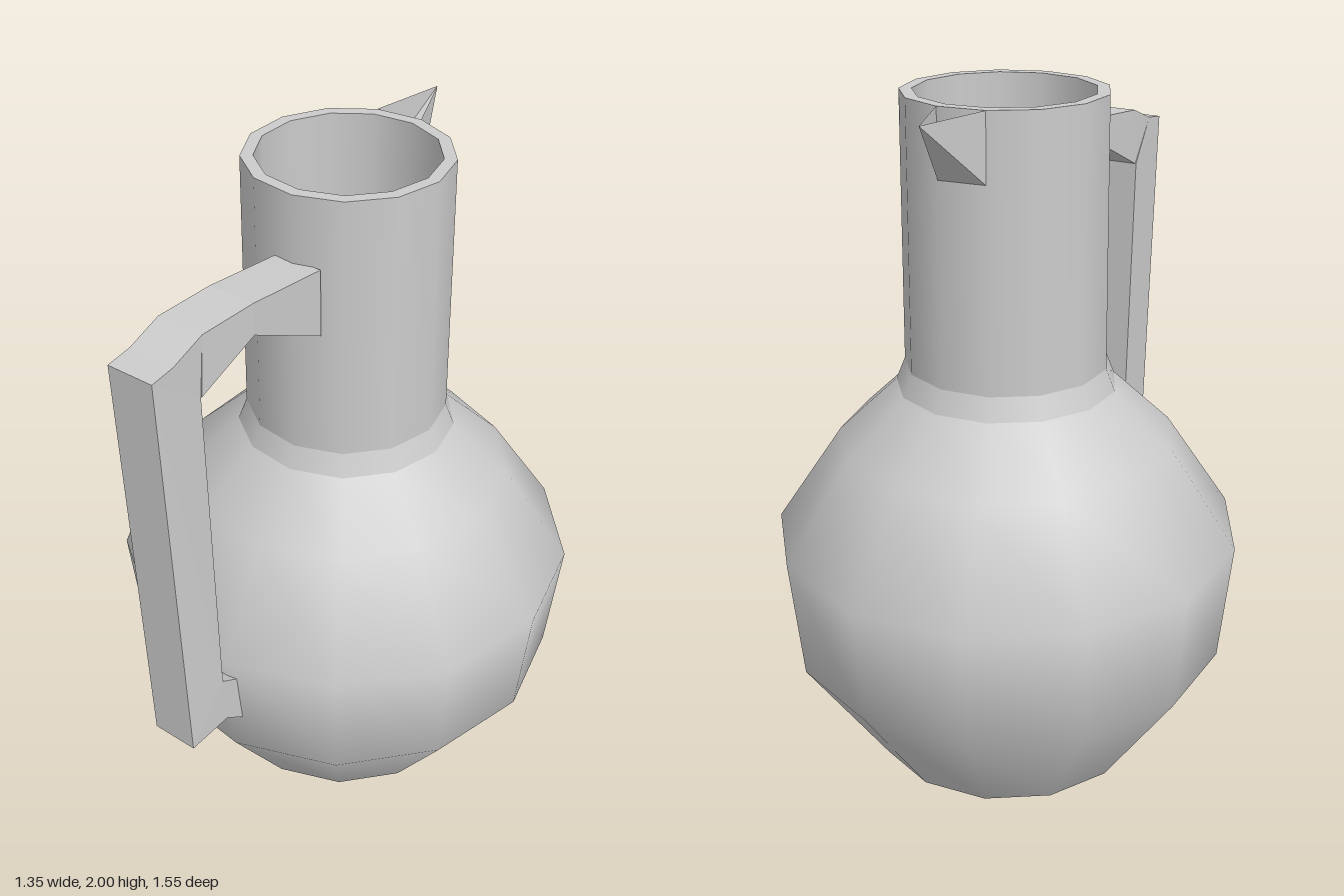
import * as THREE from 'three';

const SIDES = 13;
const CX = -0.011, CZ = -0.1; // axis of the vessel

export function createModel() {
  const group = new THREE.Group();
  const smooth = new THREE.MeshStandardMaterial({ color: 0xcccccc });
  const flat = new THREE.MeshStandardMaterial({ color: 0xcccccc, flatShading: true, side: THREE.DoubleSide });

  const add = (name, geometry, material) => {
    const mesh = new THREE.Mesh(geometry, material);
    mesh.name = name;
    group.add(mesh);
    return mesh;
  };

  // Thirteen-sided turned part, with a corner pointing to +x
  const turned = (name, profile, material = smooth) => {
    const points = profile.map(([r, y]) => new THREE.Vector2(r, y));
    const mesh = add(name, new THREE.LatheGeometry(points, SIDES, Math.PI / 2), material);
    mesh.position.set(CX, 0, CZ);
  };

  // Faceted surface from polygons given as lists of corners
  const faceted = (name, polygons) => {
    const coords = [];
    for (const p of polygons) {
      for (let i = 1; i < p.length - 1; i++) coords.push(...p[0], ...p[i], ...p[i + 1]);
    }
    const geometry = new THREE.BufferGeometry();
    geometry.setAttribute('position', new THREE.Float32BufferAttribute(coords, 3));
    geometry.computeVertexNormals();
    add(name, geometry, flat);
  };

  // Outside of the vessel
  turned('base', [[0, 0], [0.406, 0]]);
  turned('body', [[0.406, 0], [0.65, 0.36], [0.684, 0.72], [0.488, 1.01], [0.318, 1.17]]);
  turned('collar', [[0.318, 1.17], [0.292, 1.235]]);
  turned('neck', [[0.292, 1.235], [0.285, 2]]);
  turned('rim', [[0.285, 2], [0.25, 2]]);

  // Inside of the vessel
  turned('neckInside', [[0.25, 2], [0.255, 1.235]]);
  turned('bodyInside', [[0.255, 1.235], [0.285, 1.15], [0.455, 0.99], [0.645, 0.71], [0.615, 0.37], [0.385, 0.04]]);
  turned('floorInside', [[0.385, 0.04], [0, 0.04]]);

  // Pointed pouring lip, open on top, set on one facet of the neck
  const step = (2 * Math.PI) / SIDES;
  const onNeck = (k, y) => [CX + 0.285 * Math.cos(k * step), y, CZ - 0.285 * Math.sin(k * step)];
  const tip = [-0.07, 2, -0.6];
  const [topA, topB, lowA, lowB] = [onNeck(3, 2), onNeck(4, 2), onNeck(3, 1.81), onNeck(4, 1.81)];
  faceted('pouringLip', [[topA, tip, lowA], [topB, lowB, tip], [lowA, tip, lowB]]);

  // Handle cross-sections: outer z, y, inner z, y, middle x
  const sections = [
    [0.165, 1.807, 0.165, 1.61, 0.03],
    [0.43, 1.835, 0.43, 1.745, 0.03],
    [0.60, 1.825, 0.615, 1.655, 0.015],
    [0.70, 1.785, 0.615, 1.655, 0.012],
    [0.775, 1.775, 0.615, 1.655, 0.012],
    [0.757, 0.545, 0.62, 0.70, 0.03],
    [0.61, 0.545, 0.62, 0.70, 0.03],
    [0.555, 0.50, 0.565, 0.665, 0.03],
    [0.50, 0.47, 0.50, 0.63, 0.03],
  ].map(([oz, oy, iz, iy, x]) => [
    [x - 0.07, oy, oz], [x + 0.07, oy, oz], [x + 0.07, iy, iz], [x - 0.07, iy, iz],
  ]);
  const handle = [];
  for (let i = 0; i < sections.length - 1; i++) {
    const [s, t] = [sections[i], sections[i + 1]];
    for (let k = 0; k < 4; k++) {
      const n = (k + 1) % 4;
      handle.push([s[k], t[k], t[n], s[n]]);
    }
  }
  faceted('handle', handle);

  return group;
}
